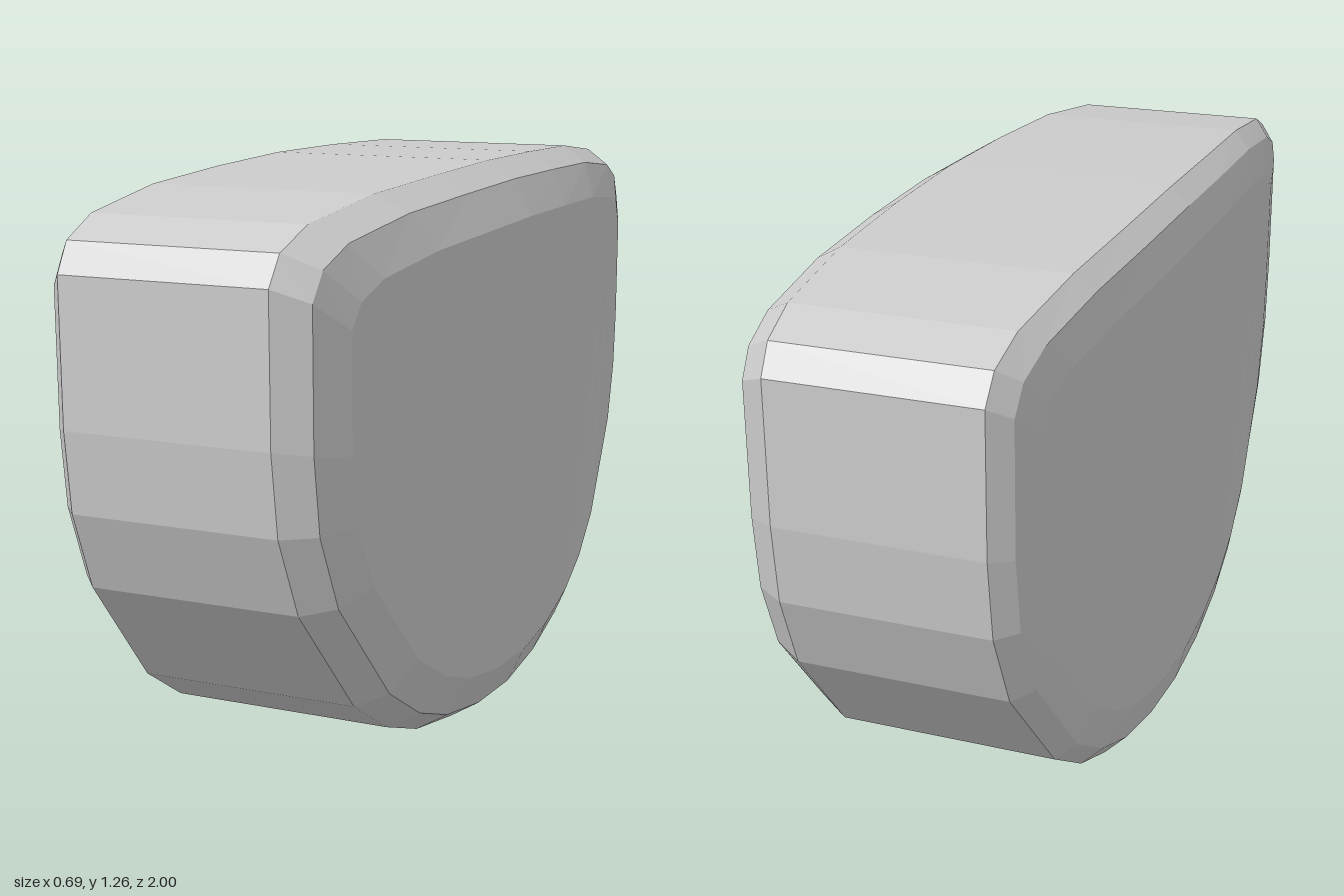
import * as THREE from 'three';

// Half outline as [z, y], from the top centre round the +z side to the bottom centre
const HALF = [
  [0, 1.265], [0.3, 1.26], [0.6, 1.25], [0.86, 1.22], [0.96, 1.18], [1, 1.12], [1, 0.82],
  [0.98, 0.65], [0.91, 0.48], [0.69, 0.22], [0.54, 0.12], [0.39, 0.06], [0.2, 0.02], [0, 0.005],
];

// Cross-sections across the width: x at mid length, inset from the outline, x narrowing at the ends
const RINGS = [
  [-0.345, 0.14, 0.045], [-0.323, 0.045, 0.04], [-0.28, 0, 0.035],
  [0.24, 0, -0.045], [0.305, 0.045, -0.045], [0.345, 0.14, -0.05],
];

function createBodyGeometry() {
  const n = HALF.length;
  const mirrored = HALF.slice(1, -1).reverse().map(([z, y]) => [-z, y]);
  const loop = [...HALF, ...mirrored];
  const m = loop.length;
  const positions = [];
  const indices = [];
  const quad = (a, b, c, d) => indices.push(a, b, c, a, c, d);

  for (const [x, inset, taper] of RINGS) {
    for (const [z, y] of loop) {
      const yIn = 0.65 + (y - 0.65) * (1 - inset / 0.72);
      positions.push(x + taper * z * z, yIn, z * (1 - inset));
    }
  }

  // Rim and bevels
  for (let r = 0; r < RINGS.length - 1; r++) {
    for (let i = 0; i < m; i++) {
      const j = (i + 1) % m;
      quad(r * m + i, r * m + j, (r + 1) * m + j, (r + 1) * m + i);
    }
  }

  // Gently bowed side faces, made of upright strips
  const last = (RINGS.length - 1) * m;
  for (let i = 0; i < n / 2 - 1; i++) {
    const j = n - 1 - i;
    const strips = [
      [i, i + 1, j - 1, j],
      [m - j, m - j + 1, m - i - 1, (m - i) % m],
    ];
    for (const [a, b, c, d] of strips) {
      quad(last + a, last + b, last + c, last + d);
      quad(d, c, b, a);
    }
  }

  const indexed = new THREE.BufferGeometry();
  indexed.setAttribute('position', new THREE.Float32BufferAttribute(positions, 3));
  indexed.setIndex(indices);
  const geometry = indexed.toNonIndexed();
  geometry.computeVertexNormals();
  return geometry;
}

export function createModel() {
  const group = new THREE.Group();
  group.name = 'halfDiscBlock';
  const material = new THREE.MeshStandardMaterial({ color: 0xcccccc, flatShading: true });
  const body = new THREE.Mesh(createBodyGeometry(), material);
  body.name = 'body';
  group.add(body);
  return group;
}
